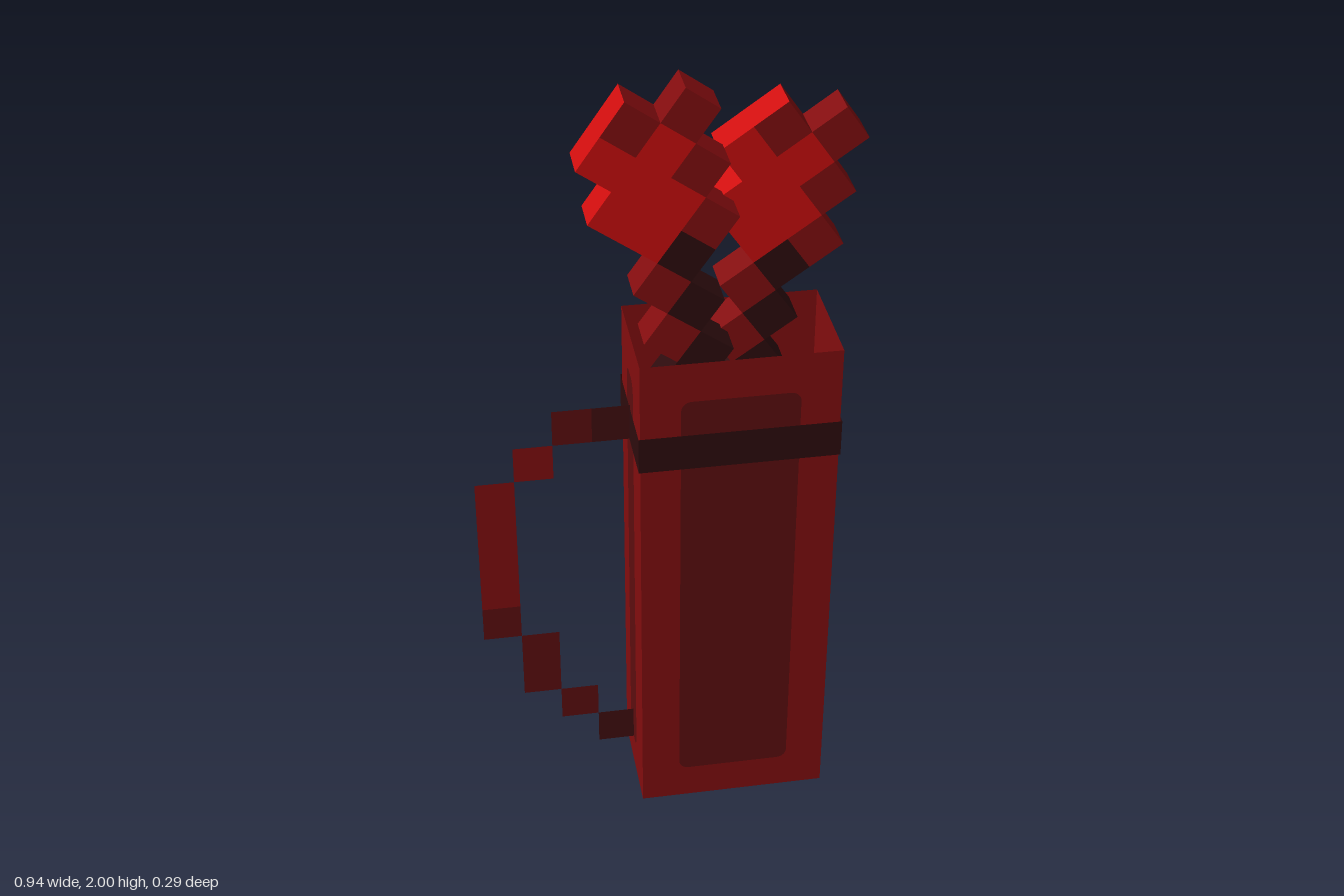
import * as THREE from 'three';
import { mergeGeometries } from 'three/addons/utils/BufferGeometryUtils.js';

const material = (name, color) =>
  new THREE.MeshStandardMaterial({ name, color, side: THREE.DoubleSide });

export function createModel() {
  const bright = material('bright red', 0xd00e0e);
  const red = material('leather red', 0x840d0f);
  const dark = material('dark red', 0x5e0d0f);
  const maroon = material('deep maroon', 0x420e10);
  const black = material('near black', 0x2e0c0e);

  const model = new THREE.Group();
  model.name = 'quiver';
  const add = (parent, name, geometry, mat, x = 0, y = 0, z = 0) => {
    const mesh = new THREE.Mesh(geometry, mat);
    mesh.name = name;
    mesh.position.set(x, y, z);
    parent.add(mesh);
    return mesh;
  };

  // Quiver body: an open box made of four walls and a floor
  const W = 0.48, D = 0.284, H = 1.35;
  const body = new THREE.Group();
  body.name = 'body';
  body.position.x = 0.155;
  model.add(body);

  const ring = (height, grow) => {
    const walls = [];
    for (let k = 0; k < 4; k++) {
      const [w, d] = k % 2 ? [D, W] : [W, D];
      walls.push(new THREE.PlaneGeometry(w + grow * 2, height)
        .translate(0, 0, d / 2 + grow)
        .rotateY(k * Math.PI / 2));
    }
    return mergeGeometries(walls);
  };
  add(body, 'walls', ring(H, 0), red, 0, H / 2, 0);
  add(body, 'strap', ring(0.095, 0.004), black, 0, 1.107, 0);
  add(body, 'floor', new THREE.PlaneGeometry(W, D).rotateX(Math.PI / 2), dark);

  // Rounded dark panels on all four sides
  const roundedPanel = (w, h, r) => {
    const s = new THREE.Shape();
    s.absarc(w / 2 - r, h / 2 - r, r, 0, Math.PI / 2);
    s.absarc(-w / 2 + r, h / 2 - r, r, Math.PI / 2, Math.PI);
    s.absarc(-w / 2 + r, -h / 2 + r, r, Math.PI, Math.PI * 1.5);
    s.absarc(w / 2 - r, -h / 2 + r, r, Math.PI * 1.5, Math.PI * 2);
    return new THREE.ShapeGeometry(s, 6);
  };
  for (let k = 0; k < 4; k++) {
    const side = k % 2;
    const geometry = roundedPanel(side ? 0.095 : 0.286, 1.15, side ? 0.032 : 0.025)
      .translate(0, 0, (side ? W : D) / 2 + 0.002)
      .rotateY(k * Math.PI / 2);
    add(body, side ? 'sidePanel' : 'widePanel', geometry, dark, 0, 0.672, 0);
  }

  // Carrying loop: flat stepped squares [column, row, height in steps, colour]
  const P = 0.0965;
  const loop = new THREE.Group();
  loop.name = 'carryingLoop';
  model.add(loop);
  for (const [c, r, n, mat] of [
    [3, 1, 1, maroon], [2, 2, 1, dark], [1, 3, 2, dark], [0, 5, 1, dark], [0, 6, 4, red],
    [1, 10, 1, red], [2, 11, 1, dark], [3, 11, 1, maroon],
  ]) {
    add(loop, 'loopStep', new THREE.PlaneGeometry(P, P * n), mat,
      -0.47 + (c + 0.5) * P, (r + n / 2) * P, 0);
  }

  // Arrows: stepped cubes on a tilted grid [column, row]
  const S = 0.0958;
  const cube = new THREE.BoxGeometry(S, S, S);
  const tip = [red, bright, red, red, red, red];
  const arrowParts = [
    ['feather', bright, [[-1, 2], [0, 1], [0, 2], [1, 2], [0, 3], [1, 3]]],
    ['featherEdge', red, [[0, 0], [1, 1], [2, 2]]],
    ['featherTip', tip, [[-1, 1]]],
    ['shaftLight', red, [[2, 4], [3, 5]]],
    ['shaftDark', black, [[2, 3], [3, 4], [4, 5], [4, 6], [5, 6], [5, 7], [6, 7], [7, 8]]],
  ];
  const addArrow = (name, x, y, z, degrees) => {
    const arrow = new THREE.Group();
    arrow.name = name;
    arrow.position.set(x, y, z);
    arrow.rotation.z = -THREE.MathUtils.degToRad(degrees);
    for (const [part, mat, cells] of arrowParts)
      for (const [i, j] of cells)
        add(arrow, part, cube, mat, (i + 0.5) * S, -(j + 0.5) * S, 0);
    model.add(arrow);
  };
  addArrow('rightArrow', 0.032, 2.0, 0.018, 35);
  addArrow('leftArrow', 0.412, 1.89, -0.06, 55);

  return model;
}
